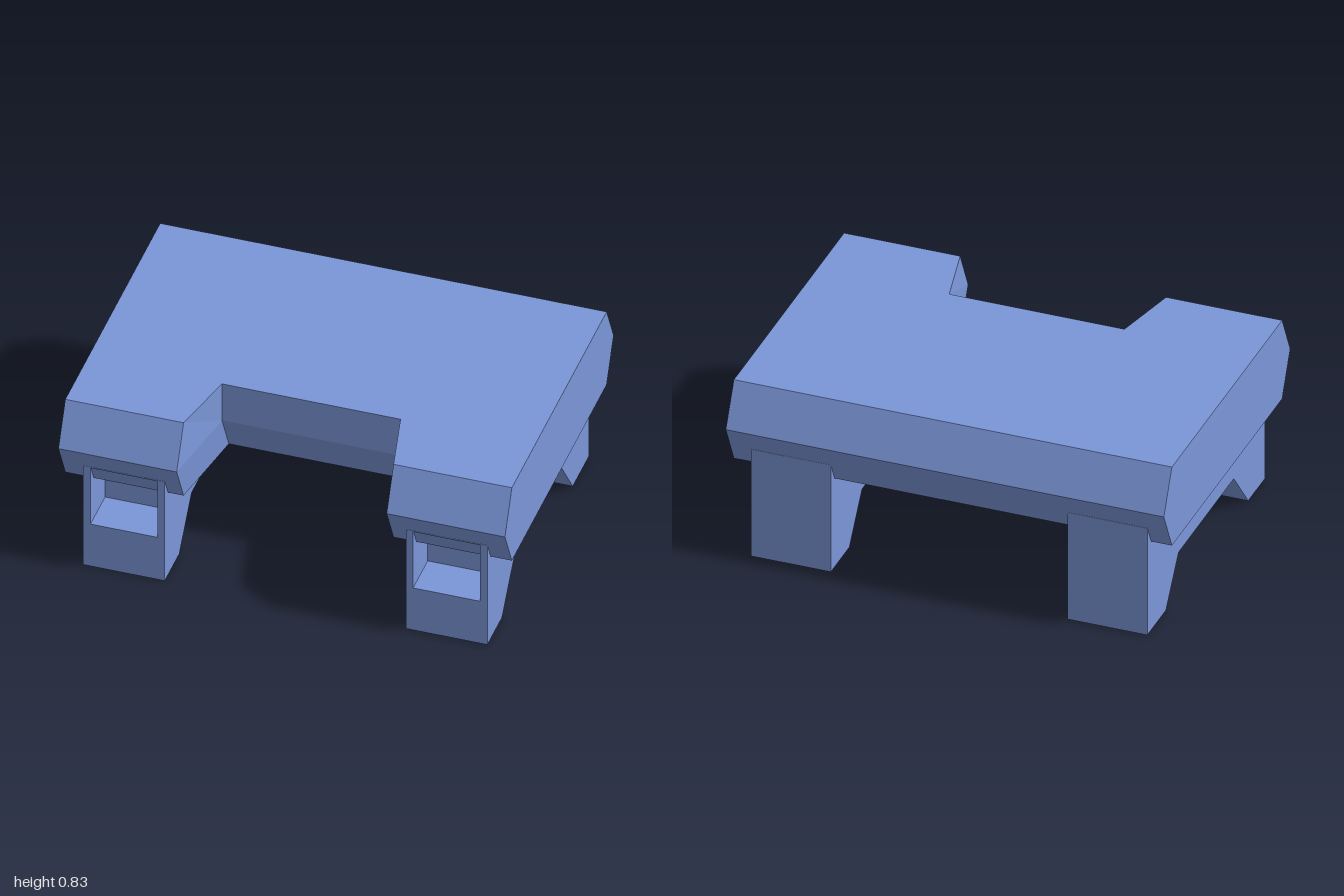
import * as THREE from 'three';

const material = new THREE.MeshStandardMaterial({ color: 0x7b96d8, flatShading: true });

function addMesh(parent, name, geometry) {
  const mesh = new THREE.Mesh(geometry, material);
  mesh.name = name;
  parent.add(mesh);
  return mesh;
}

// Slab: six-sided sections lofted along x; the middle ones step back to form the notch
function slabGeometry() {
  const yTop = 0.83, yMid = 0.635, yLow = 0.44;
  const full = [0.65, 0.745, 0.65];      // front z at top, middle, bottom
  const notch = [0.34, 0.34, 0.245];
  const stations = [[-1, full], [-0.47, full], [-0.4, notch], [0.4, notch], [0.47, full], [1, full]];
  const rings = stations.map(([x, [t, m, b]]) => [
    [x, yTop, -0.65], [x, yTop, t], [x, yMid, m],
    [x, yLow, b], [x, yLow, -0.65], [x, yMid, -0.745],
  ]);
  const positions = [];
  const tri = (a, b, c) => positions.push(...a, ...b, ...c);
  for (let s = 0; s < rings.length - 1; s++) {
    const p = rings[s], q = rings[s + 1];
    for (let i = 0; i < 6; i++) {
      const j = (i + 1) % 6;
      tri(p[i], p[j], q[j]);
      tri(p[i], q[j], q[i]);
    }
  }
  // End caps
  const first = rings[0], last = rings[rings.length - 1];
  for (let i = 1; i < 5; i++) {
    tri(last[0], last[i], last[i + 1]);
    tri(first[0], first[i + 1], first[i]);
  }
  const geometry = new THREE.BufferGeometry();
  geometry.setAttribute('position', new THREE.Float32BufferAttribute(positions, 3));
  geometry.computeVertexNormals();
  return geometry;
}

const polygon = (points) => new THREE.Shape(points.map(([x, y]) => new THREE.Vector2(x, y)));
const extrude = (shape, depth) => new THREE.ExtrudeGeometry(shape, { depth, bevelEnabled: false });

// Side rail: arched profile with a foot at each end and a square socket in the front
function createRail(name, x) {
  const rail = new THREE.Group();
  rail.name = name;
  const half = 0.1825, top = 0.53, socketBack = 0.495;

  const profile = polygon([
    [-0.695, 0], [-0.475, 0], [-0.325, 0.205], [0.325, 0.205],
    [socketBack, 0], [socketBack, top], [-0.695, top],
  ]);
  const body = extrude(profile, half * 2);
  body.rotateY(-Math.PI / 2);
  body.translate(half, 0, 0);
  addMesh(rail, 'railBody', body);

  const face = polygon([[-half, 0], [half, 0], [half, top], [-half, top]]);
  face.holes.push(new THREE.Path([
    new THREE.Vector2(-0.15, 0.225), new THREE.Vector2(-0.15, 0.525),
    new THREE.Vector2(0.15, 0.525), new THREE.Vector2(0.15, 0.225),
  ]));
  const foot = extrude(face, 0.2);
  foot.translate(0, 0, socketBack);
  addMesh(rail, 'frontFootWithSocket', foot);

  rail.position.x = x;
  return rail;
}

export function createModel() {
  const model = new THREE.Group();
  model.name = 'notchedPlatform';
  addMesh(model, 'slab', slabGeometry());
  model.add(createRail('leftRail', 0.7225), createRail('rightRail', -0.7225));
  return model;
}
